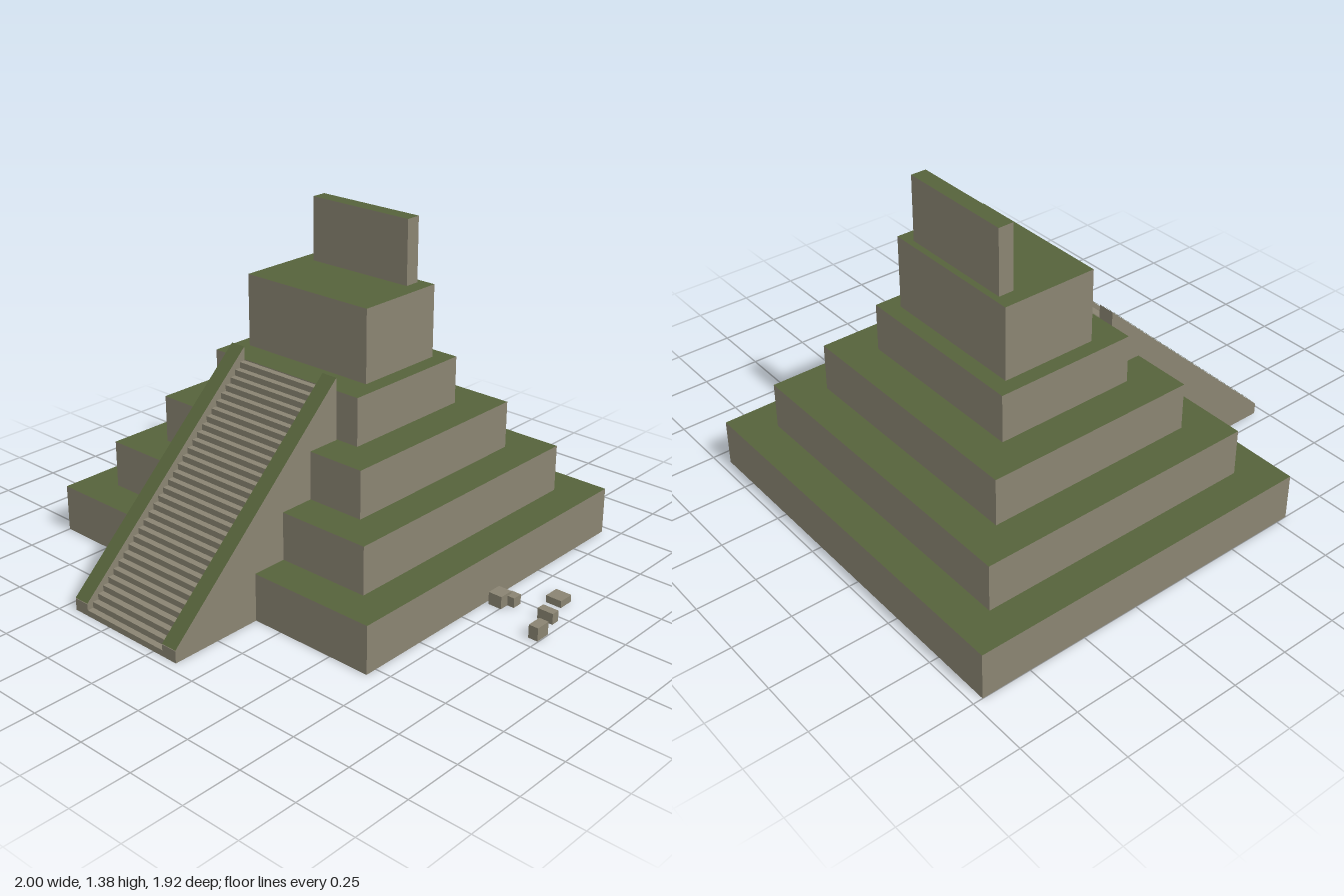
import * as THREE from 'three';

export function createModel() {
  const model = new THREE.Group();
  const stone = new THREE.MeshStandardMaterial({ color: 0x8a8472, side: THREE.DoubleSide });
  stone.name = 'stone';
  const moss = new THREE.MeshStandardMaterial({ color: 0x56633b, side: THREE.DoubleSide });
  moss.name = 'moss';

  const add = (name, geometry, material, parent = model) => {
    const mesh = new THREE.Mesh(geometry, material);
    mesh.name = name;
    parent.add(mesh);
    return mesh;
  };

  // Block given by its limits; the top face can have its own material
  const block = (name, [x0, x1], [y0, y1], [z0, z1], top = stone, side = stone, parent = model) => {
    const geometry = new THREE.BoxGeometry(x1 - x0, y1 - y0, z1 - z0);
    geometry.translate((x0 + x1) / 2, (y0 + y1) / 2, (z0 + z1) / 2);
    return add(name, geometry, [side, side, top, side, side, side], parent);
  };

  // Folded sheet: a [z, y] profile swept from x0 to x1
  const ribbon = (profile, x0, x1) => {
    const positions = [];
    for (let i = 0; i + 1 < profile.length; i++) {
      const [za, ya] = profile[i], [zb, yb] = profile[i + 1];
      positions.push(x0, ya, za, x1, ya, za, x1, yb, zb, x0, ya, za, x1, yb, zb, x0, yb, zb);
    }
    const geometry = new THREE.BufferGeometry();
    geometry.setAttribute('position', new THREE.Float32BufferAttribute(positions, 3));
    geometry.computeVertexNormals();
    return geometry;
  };

  // Stepped tiers with mossy tops; the lowest is hollow underneath
  const tiers = new THREE.Group();
  tiers.name = 'tiers';
  model.add(tiers);
  for (let i = 0; i < 4; i++) {
    const inset = i * 0.152;
    const tier = block('tier' + (i + 1), [-1 + inset, 0.68 - inset],
      [i * 0.201, (i + 1) * 0.201], [-0.96 + inset, 0.55 - inset], moss, stone, tiers);
    if (i === 0) {
      tier.geometry.groups = tier.geometry.groups.filter((g) => g.materialIndex !== 3);
    }
  }
  const floor = new THREE.PlaneGeometry(1.68, 1.51).rotateX(Math.PI / 2);
  floor.translate(-0.16, 0.09, -0.205);
  add('baseUnderside', floor, stone, tiers);

  // Temple and roof comb
  block('temple', [-0.48, 0.155], [0.804, 1.11], [-0.437, -0.033], moss);
  block('roofComb', [-0.412, 0.09], [1.11, 1.382], [-0.41, -0.345], moss);

  // Staircase
  const front = 0.96, back = 0.1, steps = 32;
  const profile = [[front, 0]];
  for (let i = 0; i < steps; i++) {
    const z = front - (i * (front - back)) / steps;
    const y = ((i + 1) * 0.803) / steps;
    profile.push([z, y], [z - (front - back) / steps, y]);
  }
  const staircase = new THREE.Group();
  staircase.name = 'staircase';
  model.add(staircase);
  add('steps', ribbon(profile, -0.375, 0.05), stone, staircase);
  add('stairBack', ribbon([[back, 0.2], [back, 0]], -0.375, 0.05), stone, staircase);

  // Sloping side walls with mossy copings
  const wall = new THREE.Shape();
  wall.moveTo(front, 0);
  wall.lineTo(front, 0.05);
  wall.lineTo(back, 0.858);
  wall.lineTo(back, 0);
  for (const [x0, x1] of [[-0.445, -0.375], [0.05, 0.122]]) {
    const geometry = new THREE.ExtrudeGeometry(wall, { depth: x1 - x0, bevelEnabled: false });
    geometry.rotateY(-Math.PI / 2).translate(x1, 0, 0);
    add('balustrade', geometry, stone, staircase);
    add('balustradeCoping', ribbon([[front, 0.053], [back, 0.861]], x0, x1), moss, staircase);
  }

  // Fallen stones beside the base
  const rubble = [
    [0.695, 0.755, 0.053, -0.212, -0.147],
    [0.742, 0.786, 0.042, -0.232, -0.188],
    [0.85, 0.92, 0.03, -0.378, -0.31],
    [0.898, 0.968, 0.046, -0.222, -0.185],
    [0.955, 0.997, 0.056, -0.115, -0.048],
  ];
  for (const [x0, x1, h, z0, z1] of rubble) {
    block('fallenStone', [x0, x1], [0, h], [z0, z1]);
  }
  block('mossyStone', [0.57, 0.63], [0, 0.05], [-0.22, -0.16], moss, moss);

  return model;
}
